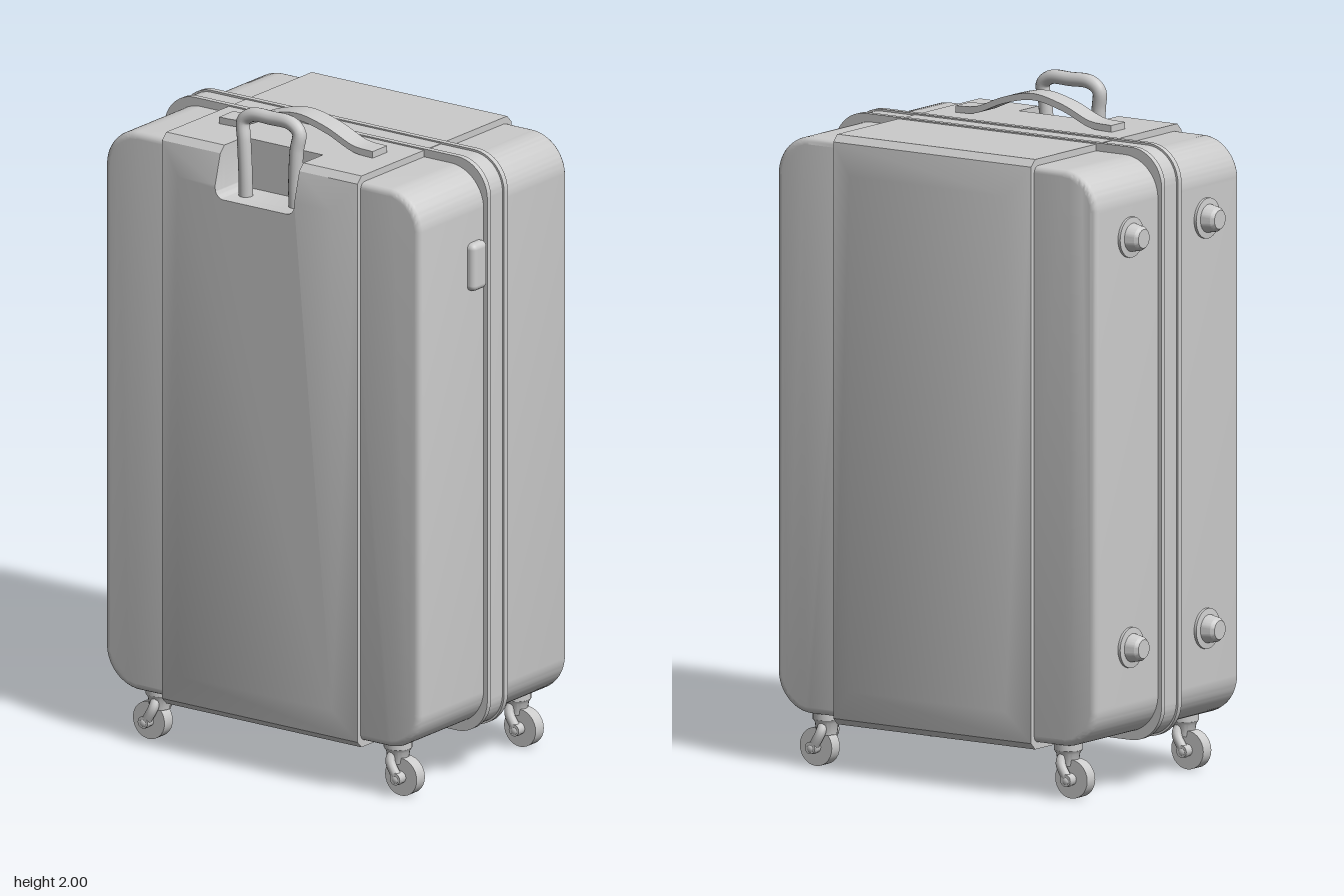
import * as THREE from 'three';
import { toCreasedNormals } from 'three/addons/utils/BufferGeometryUtils.js';
import { RoundedBoxGeometry } from 'three/addons/geometries/RoundedBoxGeometry.js';

const material = new THREE.MeshStandardMaterial({ color: 0xcccccc });
const BOTTOM = 0.14, TOP = 1.88, BACK = -0.34, FRONT = 0.365;

function add(parent, name, geometry, x = 0, y = 0, z = 0) {
  const mesh = new THREE.Mesh(geometry, material);
  mesh.name = name;
  mesh.position.set(x, y, z);
  parent.add(mesh);
  return mesh;
}

// Turn a side-profile extrusion (drawn with -z to the right) so it runs along x from x0
function alongX(geometry, x0) {
  geometry.rotateY(Math.PI / 2).translate(x0, 0, 0);
  return toCreasedNormals(geometry, 0.6);
}

// Rounded rectangle between z0..z1 and y0..y1; radii for the back and front corners
function profile(Type, z0, z1, y0, y1, rBack, rFront) {
  const l = -z1, r = -z0, s = new Type();
  s.moveTo(l + rFront, y0).lineTo(r - rBack, y0);
  s.absarc(r - rBack, y0 + rBack, rBack, -Math.PI / 2, 0);
  s.absarc(r - rBack, y1 - rBack, rBack, 0, Math.PI / 2);
  s.absarc(l + rFront, y1 - rFront, rFront, Math.PI / 2, Math.PI);
  s.absarc(l + rFront, y0 + rFront, rFront, Math.PI, Math.PI * 1.5);
  return s;
}

// Slice of the centre shell; each end is [x, inset in y, inset in z], optionally with the handle pocket
function slab(a, b, pocket) {
  const [lo, hi] = a[0] < b[0] ? [a, b] : [b, a];
  const s = new THREE.Shape();
  s.moveTo(-FRONT, BOTTOM).lineTo(-BACK, BOTTOM).lineTo(-BACK, TOP);
  if (pocket) {
    s.lineTo(0.13, TOP).lineTo(0.13, 1.76);
    s.absarc(0.1, 1.76, 0.03, 0, -Math.PI / 2, true);
    s.lineTo(-0.125, 1.73);
    s.absarc(-0.125, 1.76, 0.03, -Math.PI / 2, -Math.PI, true);
    s.lineTo(-0.155, TOP);
  }
  s.lineTo(-FRONT, TOP);
  const depth = hi[0] - lo[0];
  const g = new THREE.ExtrudeGeometry(s, { depth, bevelEnabled: false, curveSegments: 6 });
  const p = g.attributes.position, clamp = THREE.MathUtils.clamp;
  for (let i = 0; i < p.count; i++) {
    const [, dy, dz] = p.getZ(i) > depth / 2 ? hi : lo;
    p.setX(i, clamp(p.getX(i), -FRONT + dz, -BACK - dz));
    p.setY(i, clamp(p.getY(i), BOTTOM + dy, TOP - dy));
  }
  return alongX(g, lo[0]);
}

function buildCaster(parent, name, x, zStem, zWheel) {
  const caster = new THREE.Group();
  caster.name = name;
  caster.position.set(x, 0, zWheel);
  parent.add(caster);
  const dz = zStem - zWheel;
  // swivel mount
  const mount = [[0, 0.09], [0.03, 0.095], [0.035, 0.13], [0.042, 0.14], [0.042, 0.18], [0, 0.18]];
  add(caster, 'swivelMount', toCreasedNormals(
    new THREE.LatheGeometry(mount.map(([r, y]) => new THREE.Vector2(r, y)), 20), 0.6), 0, 0, dz);
  // wheel with a hub on each side
  add(caster, 'wheel', new THREE.CylinderGeometry(0.057, 0.057, 0.04, 28).rotateZ(Math.PI / 2), 0, 0.057);
  add(caster, 'axle', new THREE.CylinderGeometry(0.018, 0.018, 0.1, 16).rotateZ(Math.PI / 2), 0, 0.057);
  // fork arms from the mount down to the axle
  for (const side of [-1, 1]) {
    const arm = new THREE.CatmullRomCurve3([
      new THREE.Vector3(side * 0.012, 0.135, dz),
      new THREE.Vector3(side * 0.034, 0.105, dz * 1.1),
      new THREE.Vector3(side * 0.036, 0.055, 0)
    ]);
    add(caster, 'forkArm', new THREE.TubeGeometry(arm, 12, 0.015, 10));
    add(caster, 'forkEnd', new THREE.SphereGeometry(0.018, 12, 8), side * 0.036, 0.055, 0);
  }
}

export function createModel() {
  const model = new THREE.Group();
  model.name = 'suitcase';

  // Rounded front and back ends of the shell
  const bevel = 0.02;
  const ends = [['frontShell', 0.3, 0.58, 0, 0.1], ['backShell', -0.56, -0.28, 0.1, 0]];
  for (const [name, z0, z1, rb, rf] of ends) {
    const s = profile(THREE.Shape, z0 + bevel, z1 - bevel, 0.16 + bevel, 1.86 - bevel, rb, rf);
    add(model, name, alongX(new THREE.ExtrudeGeometry(s, {
      depth: 0.72 - 2 * bevel, bevelThickness: bevel, bevelSize: bevel, bevelSegments: 4, curveSegments: 12
    }), -0.36 + bevel));
  }

  // Raised centre shell with chamfered side panels; the right side holds the pocket
  add(model, 'centreShell', slab([-0.26, 0, 0], [0.355, 0, 0], false));
  add(model, 'pocketShell', slab([-0.26, 0, 0], [-0.355, 0, 0], true));
  for (const side of [-1, 1]) {
    add(model, 'shellEdge', slab([side * 0.355, 0, 0], [side * 0.375, 0.02, 0], side < 0));
    add(model, 'sidePanel', slab([side * 0.375, 0.02, 0], [side * 0.4, 0.11, 0.075], side < 0));
  }

  // Closure frame: a recessed strip between two rails
  const rings = [['closureStrip', -0.035, 0.07, 0.006], ['rightRail', -0.05, 0.018, 0], ['leftRail', 0.032, 0.018, 0]];
  for (const [name, x, depth, inset] of rings) {
    const ring = (Type, d) => profile(Type, -0.573 + d, 0.593 - d, 0.136 + d, 1.884 - d, 0.11 - d, 0.11 - d);
    const s = ring(THREE.Shape, inset);
    s.holes.push(ring(THREE.Path, 0.06));
    add(model, name, alongX(new THREE.ExtrudeGeometry(s, { depth, bevelEnabled: false, curveSegments: 12 }), x));
  }

  // Front latch
  add(model, 'latch', new RoundedBoxGeometry(0.07, 0.145, 0.05, 4, 0.018), -0.095, 1.583, 0.58);

  // Arched carry strap
  const arch = new THREE.CatmullRomCurve3([
    [-0.29, 1.89], [-0.22, 1.895], [-0.12, 1.934], [-0.015, 1.955], [0.09, 1.934], [0.19, 1.895], [0.265, 1.89]
  ].map(([s, y]) => new THREE.Vector3(s, y, 0))).getPoints(40);
  const outline = [
    ...arch.map(p => new THREE.Vector2(p.x, p.y - 0.01)),
    ...arch.slice().reverse().map(p => new THREE.Vector2(p.x, p.y + 0.01))
  ];
  add(model, 'carryStrap', alongX(new THREE.ExtrudeGeometry(
    new THREE.Shape(outline), { depth: 0.07, bevelEnabled: false }), -0.2));

  // Pull handle standing in the pocket
  const bar = new THREE.CatmullRomCurve3([
    [-0.325, 1.72, 0.105], [-0.327, 1.8, 0.105], [-0.327, 1.9, 0.11], [-0.322, 1.955, 0.115], [-0.32, 1.978, 0.085],
    [-0.318, 1.98, 0.015], [-0.32, 1.978, -0.055], [-0.322, 1.955, -0.085], [-0.327, 1.9, -0.08],
    [-0.327, 1.8, -0.075], [-0.325, 1.72, -0.075]
  ].map(p => new THREE.Vector3(...p)));
  add(model, 'pullHandle', new THREE.TubeGeometry(bar, 80, 0.021, 14));

  // Feet on the back
  const foot = [[0.06, -0.02], [0.06, 0.008], [0.042, 0.01], [0.036, 0.04], [0.028, 0.05], [0, 0.05]];
  for (const x of [-0.19, 0.19]) for (const y of [0.44, 1.65]) {
    const g = new THREE.LatheGeometry(foot.map(([r, h]) => new THREE.Vector2(r, h)), 28);
    add(model, 'backFoot', toCreasedNormals(g.rotateX(-Math.PI / 2), 0.5), x, y, -0.56);
  }

  // Casters
  for (const x of [-0.285, 0.295]) {
    buildCaster(model, 'frontCaster', x, 0.445, 0.47);
    buildCaster(model, 'backCaster', x, -0.415, -0.44);
  }
  return model;
}
